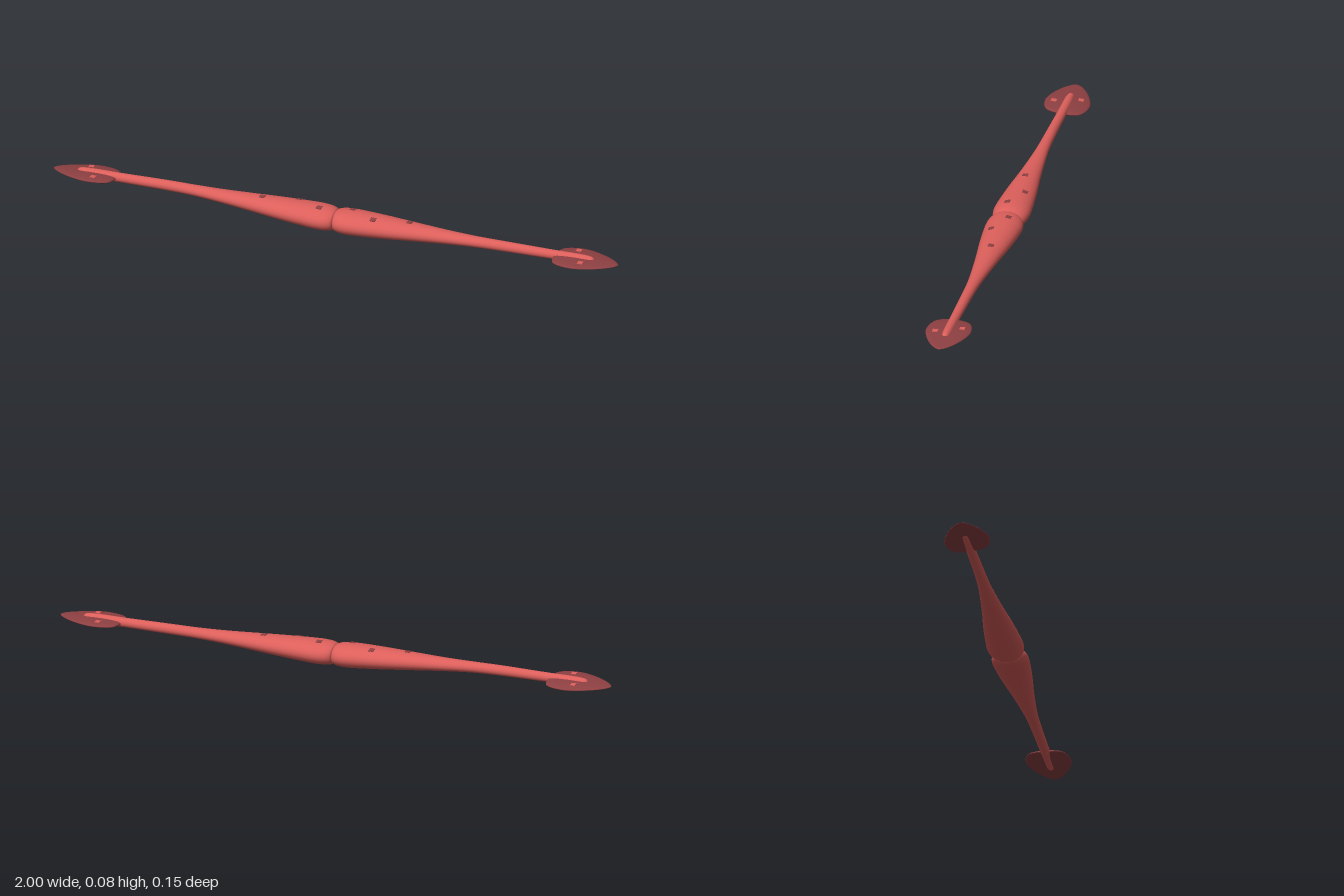
import * as THREE from 'three';

const bodyRed = new THREE.MeshStandardMaterial({ color: 0xdc5f5b });
bodyRed.name = 'coral red';
const finRed = new THREE.MeshStandardMaterial({ color: 0x8e4042 });
finRed.name = 'dark red';

// Smooth loft along +x; each section is [x, centre y, half height, half width]
function loft(sections, steps, sides) {
  const axis = new THREE.CatmullRomCurve3(sections.map(s => new THREE.Vector3(s[0], s[1], 0)), false, 'centripetal');
  const size = new THREE.CatmullRomCurve3(sections.map(s => new THREE.Vector3(s[0], s[2], s[3])), false, 'centripetal');
  const pos = [], idx = [];
  for (let i = 0; i <= steps; i++) {
    const c = axis.getPoint(i / steps), r = size.getPoint(i / steps);
    for (let j = 0; j < sides; j++) {
      const a = (j / sides) * Math.PI * 2;
      pos.push(r.x, c.y + Math.cos(a) * Math.max(r.y, 0), Math.sin(a) * Math.max(r.z, 0));
      if (i === steps) continue;
      const k = (j + 1) % sides, p = i * sides + j, q = i * sides + k;
      idx.push(p, p + sides, q, q, p + sides, q + sides);
    }
  }
  const g = new THREE.BufferGeometry();
  g.setAttribute('position', new THREE.Float32BufferAttribute(pos, 3));
  g.setIndex(idx);
  // Make sure the faces point outwards
  g.computeVertexNormals();
  const mid = Math.floor(steps / 2) * sides;
  if (g.attributes.normal.getY(mid) < 0) {
    for (let i = 0; i < idx.length; i += 3) [idx[i + 1], idx[i + 2]] = [idx[i + 2], idx[i + 1]];
    g.setIndex(idx);
    g.computeVertexNormals();
  }
  return g;
}

function mesh(name, geometry, material, parent) {
  const m = new THREE.Mesh(geometry, material);
  m.name = name;
  parent.add(m);
  return m;
}

// Half of the spindle: distance from the middle, half height, half width
const SHAFT = [
  [0, 0.030, 0.040], [0.004, 0.034, 0.048], [0.02, 0.038, 0.057], [0.05, 0.040, 0.062], [0.1, 0.039, 0.060],
  [0.2, 0.034, 0.051], [0.3, 0.028, 0.039], [0.4, 0.022, 0.029], [0.5, 0.0185, 0.021],
  [0.6, 0.0175, 0.018], [0.75, 0.016, 0.016], [0.9, 0.014, 0.013], [0.912, 0.009, 0.008], [0.915, 0, 0],
];
// Leaf-shaped end: distance, half thickness, half width
const FIN = [
  [0.775, 0, 0], [0.777, 0.004, 0.03], [0.787, 0.007, 0.055], [0.81, 0.009, 0.069], [0.86, 0.010, 0.076],
  [0.91, 0.008, 0.064], [0.96, 0.005, 0.040], [0.99, 0.003, 0.016], [1, 0, 0],
];

function buildHalf(name, endY, finTilt) {
  const half = new THREE.Group();
  half.name = name;
  const centreY = x => 0.043 + (endY - 0.043) * Math.min(1, x / 0.55);
  mesh('shaft', loft(SHAFT.map(([x, h, w]) => [x, centreY(x), h, w]), 78, 32), bodyRed, half);
  const fin = mesh('fin', loft(FIN.map(([x, h, w]) => [x, 0, h, w]), 48, 32), finRed, half);
  fin.position.y = endY - 0.002;
  fin.rotation.x = finTilt;
  // Pale flecks on the fin
  for (const [x, z] of [[0.845, -0.045], [0.88, 0.04]]) {
    const fleck = mesh('finFleck', new THREE.BoxGeometry(0.018, 0.004, 0.018), bodyRed, fin);
    fleck.position.set(x, 0.0075, z);
  }
  // Dark flecks along the shaft
  for (const [x, z] of [[0.055, -0.015], [0.14, 0.025], [0.26, -0.003]]) {
    const i = SHAFT.findIndex(s => s[0] > x), a = SHAFT[i - 1], b = SHAFT[i];
    const t = (x - a[0]) / (b[0] - a[0]);
    const h = a[1] + (b[1] - a[1]) * t, w = a[2] + (b[2] - a[2]) * t;
    const fleck = mesh('shaftFleck', new THREE.BoxGeometry(0.018, 0.003, 0.018), finRed, half);
    fleck.position.set(x, centreY(x) + h * Math.sqrt(1 - (z / w) ** 2), z);
    fleck.rotation.x = Math.atan2(h * z, w * w * Math.sqrt(1 - (z / w) ** 2));
  }
  return half;
}

export function createModel() {
  const model = new THREE.Group();
  model.name = 'doubleEndedPaddle';
  model.add(buildHalf('leftHalf', 0.045, 0));
  const right = buildHalf('rightHalf', 0.067, 0.09);
  right.rotation.y = Math.PI;
  model.add(right);
  return model;
}
